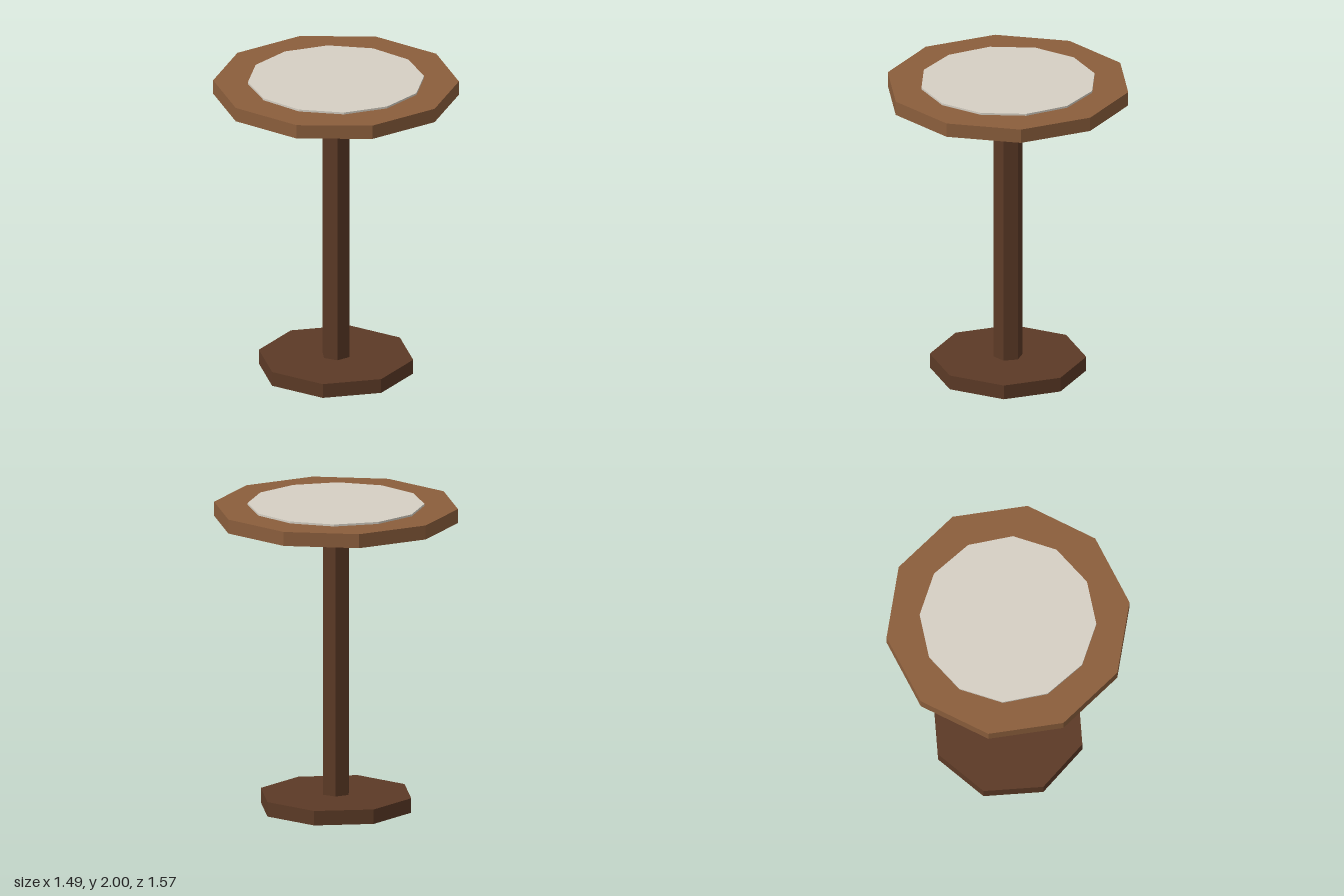
import * as THREE from 'three';

const lightWood = new THREE.MeshStandardMaterial({ color: 0x8b5e3c, flatShading: true });
const darkWood = new THREE.MeshStandardMaterial({ color: 0x5c3a26, flatShading: true });
const paleInlay = new THREE.MeshStandardMaterial({ color: 0xd6d0c4, flatShading: true });

// Upright faceted prism between two heights, with a corner pointing to +z
function prism(name, radius, sides, bottom, top, material) {
  const geometry = new THREE.CylinderGeometry(radius, radius, top - bottom, sides);
  const mesh = new THREE.Mesh(geometry, material);
  mesh.name = name;
  mesh.position.y = (bottom + top) / 2;
  return mesh;
}

export function createModel() {
  const table = new THREE.Group();
  table.name = 'pedestalTable';
  table.add(
    prism('base', 0.5, 8, 0, 0.095, darkWood),
    prism('post', 0.094, 6, 0.095, 1.895, darkWood),
    prism('tableTop', 0.785, 10, 1.895, 1.987, lightWood),
    prism('topInlay', 0.565, 12, 1.987, 2, paleInlay)
  );
  return table;
}
